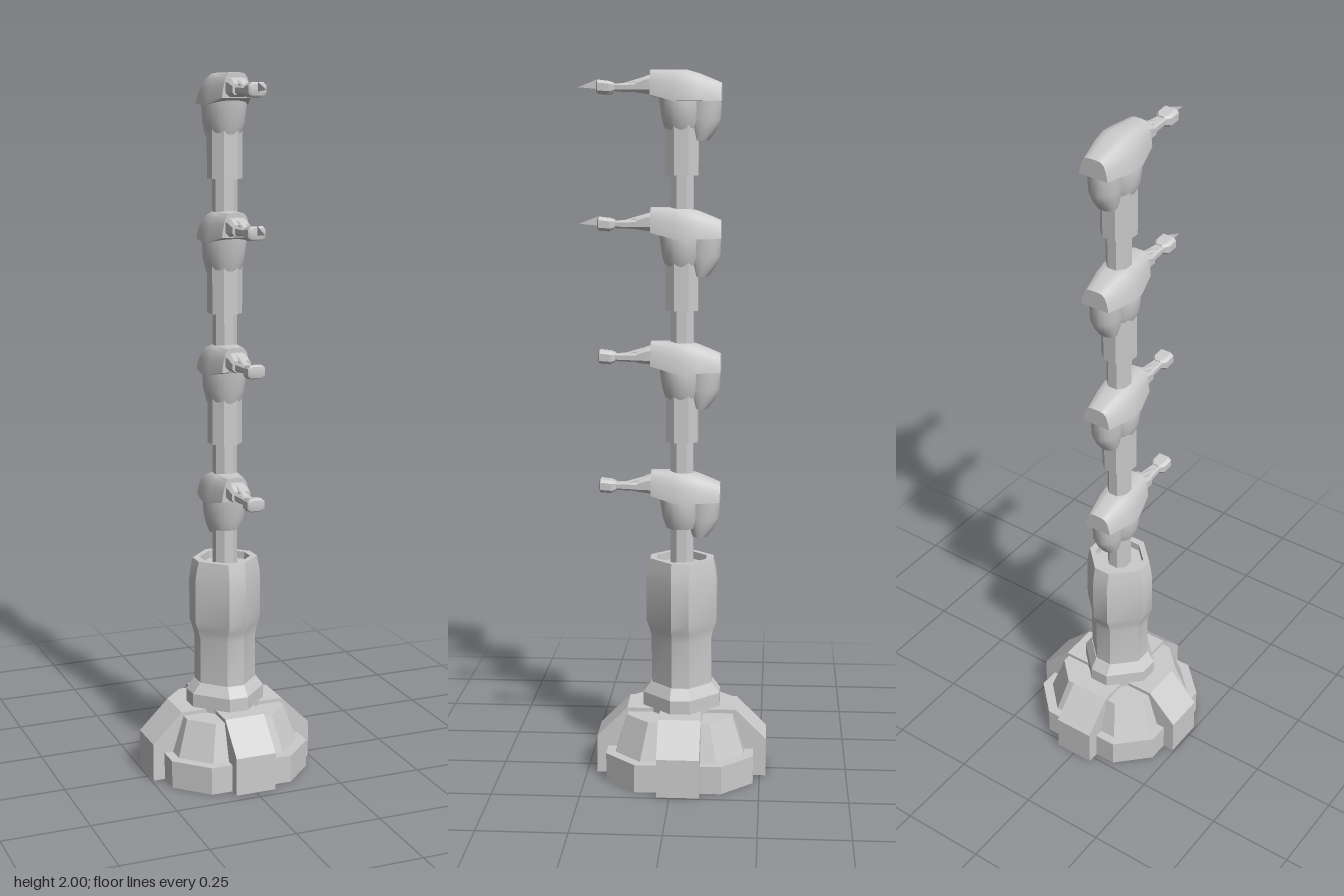
import * as THREE from 'three';
import { toCreasedNormals } from 'three/addons/utils/BufferGeometryUtils.js';

const material = new THREE.MeshStandardMaterial({ color: 0xcccccc });
const thin = new THREE.MeshStandardMaterial({ color: 0xcccccc, side: THREE.DoubleSide });
const AXIS = -0.022; // z of the mast axis

function add(parent, name, geometry, mat = material) {
  const mesh = new THREE.Mesh(geometry, mat);
  mesh.name = name;
  parent.add(mesh);
  return mesh;
}

// Skin a row of equal-length rings and close both ends.
function loft(rings, crease = 0.6) {
  const n = rings[0].length;
  const index = [];
  for (let i = 0; i < rings.length - 1; i++) {
    for (let j = 0; j < n; j++) {
      const a = i * n + j, b = i * n + (j + 1) % n;
      index.push(a, b, b + n, a, b + n, a + n);
    }
  }
  const last = (rings.length - 1) * n;
  for (let j = 1; j < n - 1; j++) {
    index.push(0, j + 1, j, last, last + j, last + j + 1);
  }
  const g = new THREE.BufferGeometry();
  g.setAttribute('position', new THREE.Float32BufferAttribute(rings.flat(2), 3));
  g.setIndex(index);
  return toCreasedNormals(g, crease);
}

// Horizontal octagon: half size a, half length f of its four straight sides.
const octagon = ([y, a, f]) => [[a, f], [a, -f], [f, -a], [-f, -a], [-a, -f], [-a, f], [-f, a], [f, a]]
  .map(([x, z]) => [x, y, z + AXIS]);

// Horizontal ellipse between two z limits.
const ellipse = ([y, w, z0, z1]) => Array.from({ length: 20 }, (_, i) => {
  const t = i / 20 * Math.PI * 2;
  return [w * Math.cos(t), y, (z0 + z1) / 2 - (z1 - z0) / 2 * Math.sin(t)];
});

// Upright chamfered section at depth z.
const section = ([z, w, y0, y1]) => {
  const c = Math.min(w, (y1 - y0) / 2) * 0.45;
  return [[w, y0 + c], [w, y1 - c], [w - c, y1], [c - w, y1], [-w, y1 - c], [-w, y0 + c], [c - w, y0], [w - c, y0]]
    .map(([x, y]) => [x, y, z]);
};

// Upright domed section for the hood.
const dome = ([z, w, y0, y1]) => {
  const half = [[1, 0], [0.97, 0.2], [0.88, 0.5], [0.75, 0.8], [0.55, 0.96], [0.25, 1]];
  const right = half.map(([x, y]) => [x * w, y0 + y * (y1 - y0), z]);
  return [...right, ...right.map(([x, y]) => [-x, y, z]).reverse()];
};

// One head; y is measured down from the top of its hood.
function createHead(spiked) {
  const head = new THREE.Group();
  add(head, 'hood', loft([
    [-0.131, 0.043, -0.085, -0.035], [-0.11, 0.049, -0.085, -0.026],
    [-0.07, 0.059, -0.085, -0.01], [-0.035, 0.064, -0.085, 0],
    [0, 0.06, -0.085, 0], [0.065, 0.042, -0.068, 0],
  ].map(dome), 0.7));
  add(head, 'neck', loft([
    [-0.165, 0.044, -0.066, 0.024], [-0.135, 0.056, -0.077, 0.034],
    [-0.08, 0.06, -0.08, 0.042], [-0.06, 0.055, -0.08, 0.045],
  ].map(ellipse), 0.7));
  add(head, 'rearPod', loft([
    [-0.19, 0.027, -0.095, -0.05], [-0.168, 0.034, -0.112, -0.04],
    [-0.135, 0.04, -0.129, -0.03], [-0.08, 0.043, -0.131, -0.03],
  ].map(ellipse), 0.7));
  add(head, 'barrelRoot', loft([
    [0.05, 0.032, -0.066, -0.012], [0.075, 0.031, -0.064, -0.016], [0.105, 0.028, -0.06, -0.03],
  ].map(section)));
  add(head, 'barrel', loft([
    [0.09, 0.022, -0.06, -0.034], [0.175, 0.014, -0.057, -0.037],
  ].map(section)));
  add(head, 'muzzle', loft([
    [0.165, 0.014, -0.06, -0.034], [0.178, 0.025, -0.066, -0.03],
    [0.21, 0.025, -0.064, -0.026], [0.214, 0.018, -0.06, -0.03],
  ].map(section)));
  // Narrow rib on top of the barrel
  add(head, 'barrelRib', loft([
    [0.06, 0.01, -0.05, -0.012], [0.105, 0.01, -0.05, -0.025], [0.142, 0.01, -0.05, -0.036],
  ].map(section)));
  if (spiked) {
    // Upright blade at the tip
    const blade = new THREE.Shape([[0.2, -0.055], [0.2, -0.03], [0.215, -0.026], [0.266, -0.046], [0.22, -0.05]]
      .map(([z, y]) => new THREE.Vector2(z, y)));
    add(head, 'tipBlade', new THREE.ShapeGeometry(blade).rotateY(-Math.PI / 2), thin);
  }
  return head;
}

export function createModel() {
  const model = new THREE.Group();

  // Stepped octagonal foot
  add(model, 'footPlate', loft([[0, 0.21, 0.122], [0.08, 0.21, 0.122]].map(octagon), 0.2));
  add(model, 'footSlope', loft([[0.08, 0.184, 0.108], [0.185, 0.151, 0.087]].map(octagon), 0.2));

  // Four sloped buttresses
  const profile = new THREE.Shape([[0, 0], [0.244, 0], [0.244, 0.11], [0.157, 0.196], [0, 0.196]]
    .map(([x, y]) => new THREE.Vector2(x, y)));
  const buttress = new THREE.ExtrudeGeometry(profile, { depth: 0.12, bevelEnabled: false }).translate(0, 0, -0.06);
  for (let i = 0; i < 4; i++) {
    const arm = add(model, 'buttress', buttress);
    arm.position.z = AXIS - 0.002;
    arm.rotation.y = i * Math.PI / 2;
  }

  // Waisted column with a recessed top
  add(model, 'collar', loft([
    [0.18, 0.11, 0.028], [0.235, 0.11, 0.028], [0.265, 0.088, 0.026],
  ].map(octagon), 0.4));
  add(model, 'column', loft([
    [0.25, 0.086, 0.025], [0.4, 0.086, 0.025], [0.425, 0.092, 0.025], [0.45, 0.101, 0.025],
    [0.57, 0.101, 0.025], [0.6, 0.097, 0.025], [0.632, 0.09, 0.025], [0.632, 0.07, 0.022], [0.61, 0.07, 0.022],
  ].map(octagon), 0.5));

  // Mast, thick sleeves and the four stacked heads
  add(model, 'mast', loft([[0.6, 0.032, 0.014], [1.9, 0.032, 0.014]].map(octagon), 0.2));
  [0.885, 1.255, 1.627, 2].forEach((top, i) => {
    if (i > 0) {
      add(model, 'sleeve', loft([
        [top - 0.285, 0.045, 0.02], [top - 0.14, 0.045, 0.02],
      ].map(octagon), 0.2));
    }
    const head = createHead(i > 1);
    head.name = 'head';
    head.position.y = top;
    model.add(head);
  });
  return model;
}
